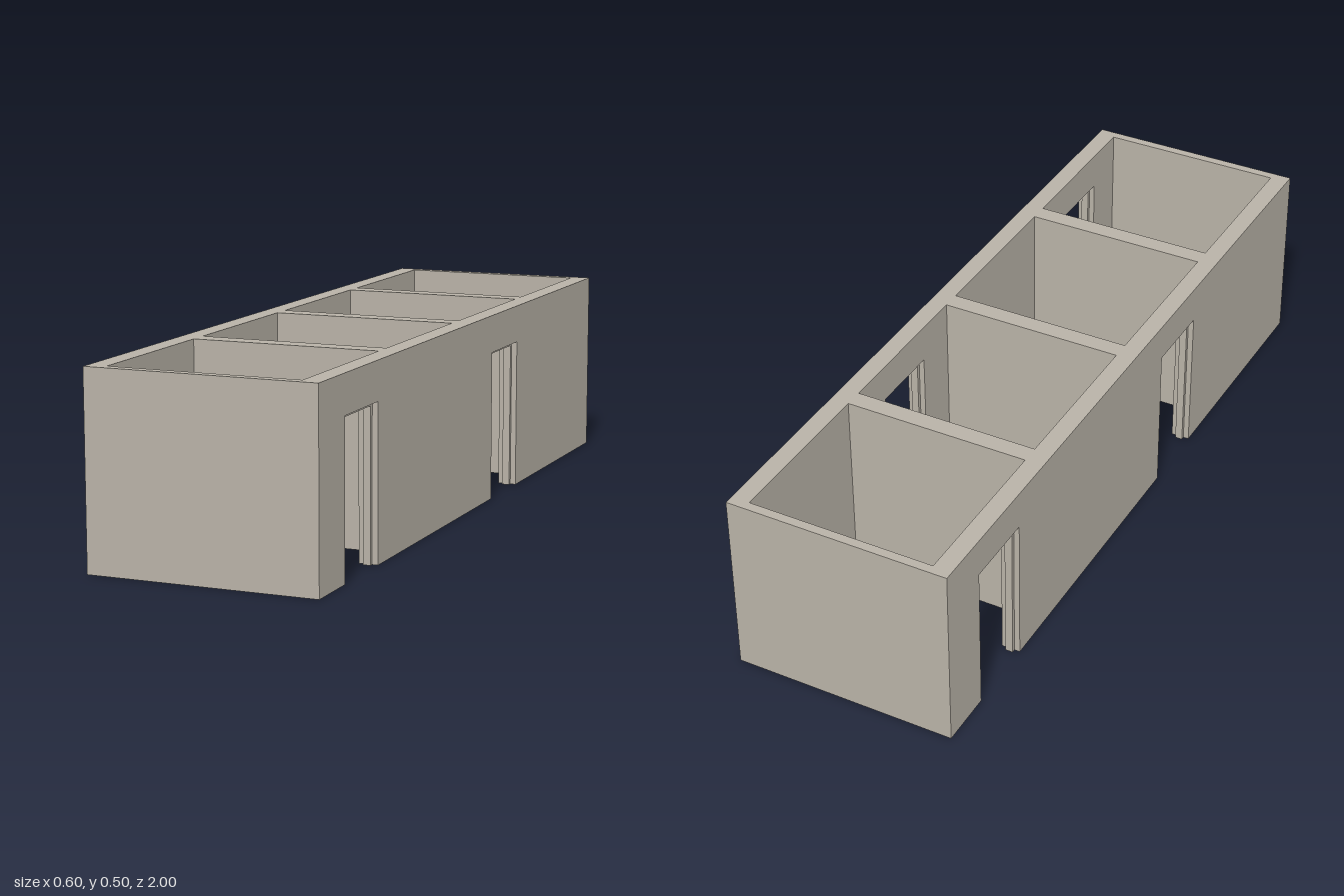
import * as THREE from 'three';

const HEIGHT = 0.5, LENGTH = 2, WALL = 0.05;
const DOOR_W = 0.2, DOOR_H = 0.4, STOP = 0.01, STOP_DEPTH = 0.02;

// Extrudes a (z, y) outline into a slab of the given thickness centred on x
function slab(points, thickness, x) {
  const shape = new THREE.Shape(points.map(([z, y]) => new THREE.Vector2(z, y)));
  const geo = new THREE.ExtrudeGeometry(shape, { depth: thickness, bevelEnabled: false });
  geo.rotateY(-Math.PI / 2);
  geo.translate(x + thickness / 2, 0, 0);
  return geo;
}

export function createModel() {
  const group = new THREE.Group();
  group.name = 'roomRow';
  const plaster = new THREE.MeshStandardMaterial({ color: 0xb8b2a7 });
  plaster.name = 'plaster';

  const add = (name, geo) => {
    const mesh = new THREE.Mesh(geo, plaster);
    mesh.name = name;
    group.add(mesh);
    return mesh;
  };

  // Long walls with doorways cut up from the floor, listed in rising z
  const sides = [
    { name: 'left', x: 0.275, doors: [-0.25, 0.75] },
    { name: 'right', x: -0.275, doors: [-0.75, 0.25] },
  ];
  for (const { name, x, doors } of sides) {
    const outline = [[-LENGTH / 2, 0]];
    for (const z of doors) {
      const a = z - DOOR_W / 2, b = z + DOOR_W / 2;
      outline.push([a, 0], [a, DOOR_H], [b, DOOR_H], [b, 0]);

      // Door stop: a thin ridge running around the middle of the opening
      const c = a + STOP, d = b - STOP, top = DOOR_H - STOP;
      add(name + 'DoorStop', slab(
        [[a, 0], [c, 0], [c, top], [d, top], [d, 0], [b, 0], [b, DOOR_H], [a, DOOR_H]],
        STOP_DEPTH, x));
    }
    outline.push([LENGTH / 2, 0], [LENGTH / 2, HEIGHT], [-LENGTH / 2, HEIGHT]);
    add(name + 'LongWall', slab(outline, WALL, x));
  }

  // Partitions between rooms, and thinner walls closing the two ends
  const crossWalls = [
    ['backWall', -0.9875, WALL / 2],
    ['partition', -0.5, WALL],
    ['partition', 0, WALL],
    ['partition', 0.5, WALL],
    ['frontWall', 0.9875, WALL / 2],
  ];
  for (const [name, z, depth] of crossWalls) {
    add(name, new THREE.BoxGeometry(0.5, HEIGHT, depth)).position.set(0, HEIGHT / 2, z);
  }

  return group;
}
